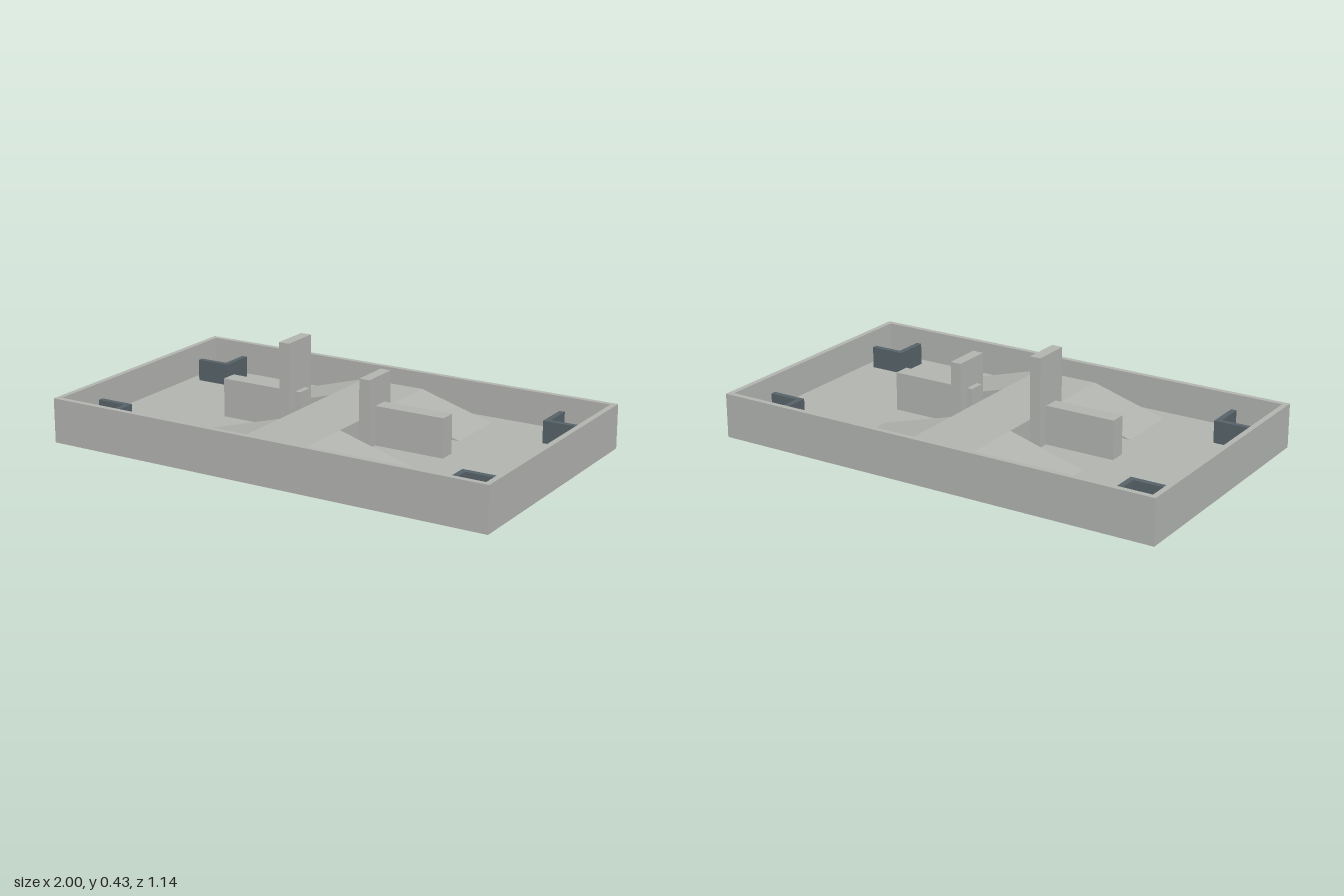
import * as THREE from 'three';

// All measurements are in grid units; the tray is 42 units long (2 in total).
const U = 1 / 21;

export function createModel() {
  const grey = new THREE.MeshStandardMaterial({ color: 0xb1b3af });
  grey.name = 'light grey';
  const slate = new THREE.MeshStandardMaterial({ color: 0x566268 });
  slate.name = 'dark slate';
  const model = new THREE.Group();
  model.name = 'tray';

  const add = (name, geometry, material, parent = model) => {
    const mesh = new THREE.Mesh(geometry, material);
    mesh.name = name;
    parent.add(mesh);
    return mesh;
  };
  // Box given by its minimum and maximum on each axis
  const block = (name, x0, x1, y0, y1, z0, z1, material = grey, parent = model) => {
    const g = new THREE.BoxGeometry(Math.abs(x1 - x0) * U, (y1 - y0) * U, Math.abs(z1 - z0) * U);
    g.translate((x0 + x1) / 2 * U, (y0 + y1) / 2 * U, (z0 + z1) / 2 * U);
    return add(name, g, material, parent);
  };
  const rectangle = (path, w, d) => {
    path.moveTo(-w * U, -d * U);
    path.lineTo(w * U, -d * U);
    path.lineTo(w * U, d * U);
    path.lineTo(-w * U, d * U);
    path.closePath();
    return path;
  };

  // Base slab and surrounding rim
  block('base', -21, 21, 0, 1, -12, 12);
  const rimShape = rectangle(new THREE.Shape(), 21, 12);
  rimShape.holes.push(rectangle(new THREE.Path(), 20.5, 11.5));
  const rim = new THREE.ExtrudeGeometry(rimShape, { depth: 3 * U, bevelEnabled: false });
  rim.rotateX(-Math.PI / 2);
  rim.translate(0, U, 0);
  add('rim', rim, grey);

  // Raised middle platform
  block('platform', -3, 3, 1, 3, -10, 10);

  for (const sx of [-1, 1]) {
    for (const sz of [-1, 1]) {
      // Ramp sloping from the platform down to the floor
      const profile = new THREE.Shape([[3, 1], [10, 1], [3, 3]]
        .map(([x, y]) => new THREE.Vector2(sx * x * U, y * U)));
      const ramp = new THREE.ExtrudeGeometry(profile, { depth: 6 * U, bevelEnabled: false });
      ramp.translate(0, 0, (sz > 0 ? 4 : -10) * U);
      add('ramp', ramp, grey);

      // L-shaped corner bracket
      const bracket = new THREE.Group();
      bracket.name = 'cornerBracket';
      block('bracketArmAcross', sx * 16.75, sx * 19.5, 1, 3, sz * 7.25, sz * 7.75, slate, bracket);
      block('bracketArmAlong', sx * 16.25, sx * 16.75, 1, 3, sz * 7.25, sz * 10.5, slate, bracket);
      model.add(bracket);
    }
    // Low rail crossing an upright plate, taller on the right
    block('rail', sx * 3, sx * 11, 1, 4.5, -0.75, 0.75);
    block('upright', sx * 3.5, sx * 4.5, 1, sx < 0 ? 9 : 7, -1.75, 1.75);
  }
  return model;
}
